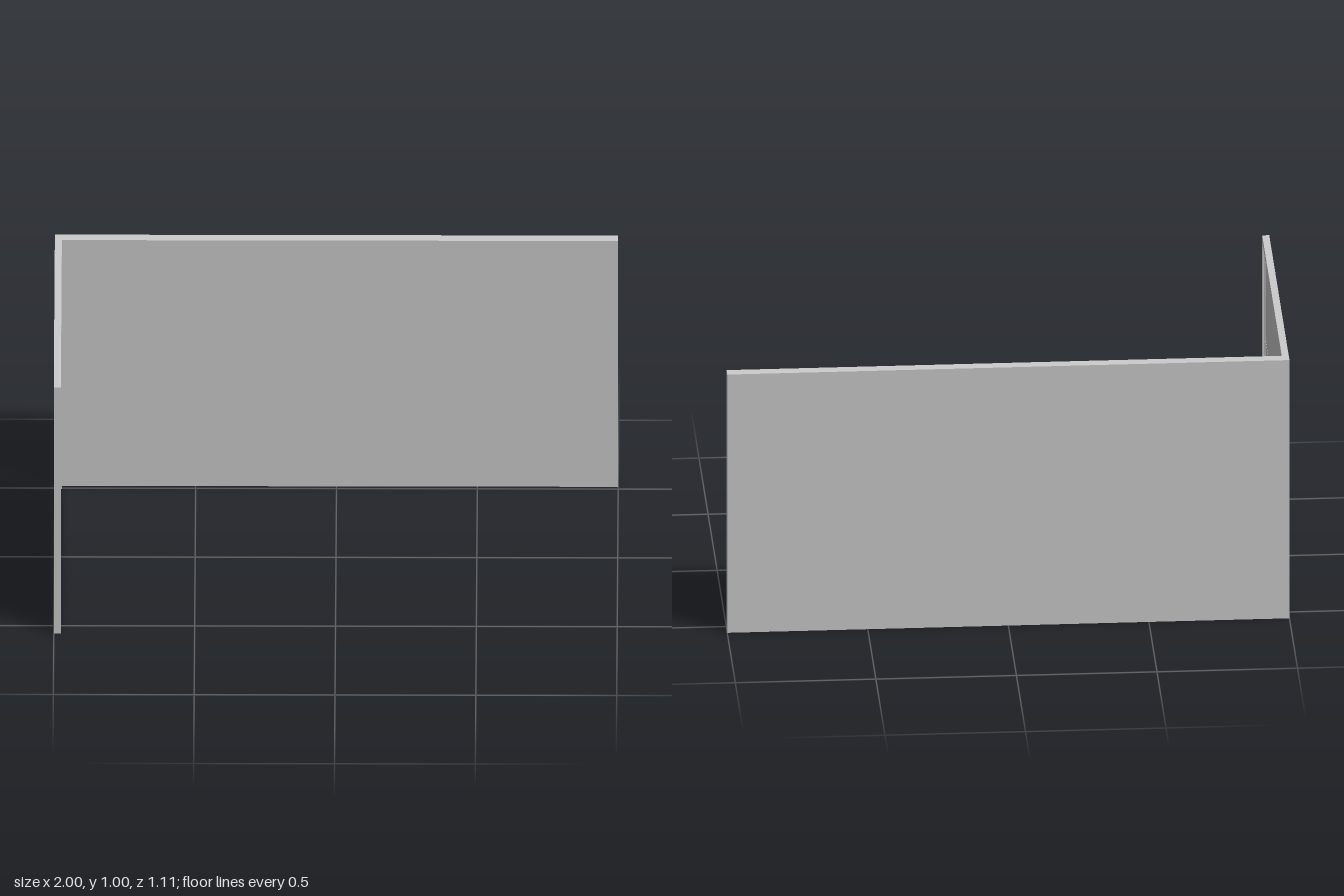
import * as THREE from 'three';

const material = new THREE.MeshStandardMaterial({ color: 0xcccccc, flatShading: true });

// Box given by its minimum and maximum corners
function box(name, [x0, y0, z0], [x1, y1, z1]) {
  const mesh = new THREE.Mesh(new THREE.BoxGeometry(x1 - x0, y1 - y0, z1 - z0), material);
  mesh.name = name;
  mesh.position.set((x0 + x1) / 2, (y0 + y1) / 2, (z0 + z1) / 2);
  return mesh;
}

// Upside-down U standing in the z-y plane, extruded from x0 to x1
function portal(name, outer, inner, x0, x1) {
  const points = [
    [outer.back, 0], [inner.back, 0], [inner.back, inner.top], [inner.front, inner.top],
    [inner.front, 0], [outer.front, 0], [outer.front, outer.top], [outer.back, outer.top],
  ].map(([z, y]) => new THREE.Vector2(-z, y)); // shape x runs along -z
  const geometry = new THREE.ExtrudeGeometry(new THREE.Shape(points), { depth: x1 - x0, bevelEnabled: false });
  geometry.rotateY(Math.PI / 2);
  const mesh = new THREE.Mesh(geometry, material);
  mesh.name = name;
  mesh.position.x = x0;
  return mesh;
}

export function createModel() {
  const model = new THREE.Group();
  model.name = 'wallWithDoor';

  // Long back wall
  model.add(box('backWall', [-1, 0, -0.556], [1, 1, -0.516]));

  // Door frame with a thin recessed stop around the opening
  const outer = { back: -0.516, front: 0.556, top: 1 };
  const rebate = { back: -0.495, front: 0.529, top: 0.973 };
  const opening = { back: -0.48, front: 0.512, top: 0.957 };
  model.add(portal('doorFrame', outer, rebate, -1, -0.975));
  model.add(portal('doorStop', rebate, opening, -0.993, -0.982));

  // Door leaf: thin backing sheet with a three by three grid of panels inside
  const door = new THREE.Group();
  door.name = 'door';
  const z0 = -0.463, z1 = 0.497, top = 0.939, gap = 0.004;
  door.add(box('doorSheet', [-0.993, 0, z0], [-0.986, top, z1]));
  const w = (z1 - z0 - 2 * gap) / 3, h = (top - 2 * gap) / 3;
  for (let i = 0; i < 3; i++) {
    for (let j = 0; j < 3; j++) {
      const z = z0 + i * (w + gap), y = j * (h + gap);
      door.add(box('doorPanel', [-0.986, y, z], [-0.982, y + h, z + w]));
    }
  }
  model.add(door);
  return model;
}
